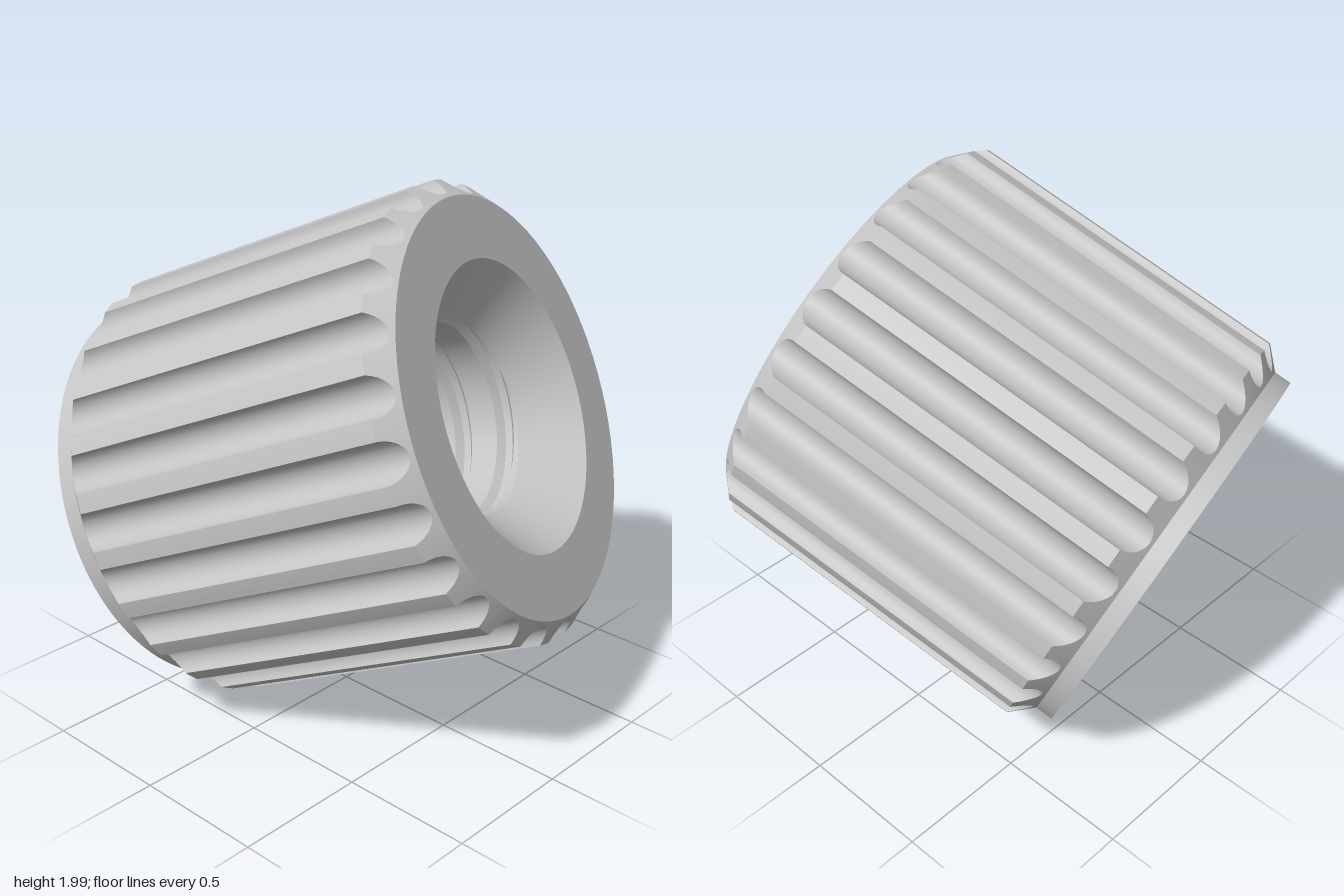
import * as THREE from 'three';
import { toCreasedNormals } from 'three/addons/utils/BufferGeometryUtils.js';

// Sizes: total length, knurl radius, face radius, bore crest and root radii
const L = 1.45, R = 0.82, FACE = 0.745, CREST = 0.35, ROOT = 0.38;
const RIM = 0.065, SINK = 0.19, BACK_SINK = 0.09;

// Grid surface around the y axis; f(i, j) gives [radius, angle, height]
function gridSurface(nu, nv, f) {
  const pos = [], index = [];
  for (let i = 0; i <= nu; i++) {
    for (let j = 0; j <= nv; j++) {
      const [r, a, y] = f(i, j);
      pos.push(r * Math.cos(a), y, -r * Math.sin(a));
      if (i < nu && j < nv) {
        const p = i * (nv + 1) + j, q = p + nv + 1;
        index.push(p, p + 1, q, p + 1, q + 1, q);
      }
    }
  }
  const g = new THREE.BufferGeometry();
  g.setAttribute('position', new THREE.Float32BufferAttribute(pos, 3));
  g.setIndex(index);
  return toCreasedNormals(g, 0.55);
}

// Knurled wall: 25 round flutes running out through 45 degree chamfers
function knurlGeometry() {
  const count = 25, c = 0.828, rho = 0.071;
  const step = Math.PI * 2 / count;
  const half = Math.acos((R * R + c * c - rho * rho) / (2 * R * c));
  const cols = [];
  for (let k = 0; k < count; k++) {
    const mid = k * step;
    for (let s = 0; s <= 12; s++) {
      const d = half * Math.sin((s / 12 - 0.5) * Math.PI);
      const r = c * Math.cos(d) - Math.sqrt(Math.max(0, rho * rho - (c * Math.sin(d)) ** 2));
      cols.push([Math.min(R, r), mid + d]);
    }
    for (const t of [1 / 3, 2 / 3]) cols.push([R, mid + half + t * (step - 2 * half)]);
  }
  cols.push([cols[0][0], cols[0][1] + Math.PI * 2]);
  return gridSurface(cols.length - 1, 3, (i, j) => {
    const [r, a] = cols[i], drop = r - FACE;
    const row = [[FACE, L], [r, L - drop], [r, RIM + drop], [FACE, RIM]][j];
    return [row[0], a, row[1]];
  });
}

// Internal thread: helical trapezoid profile clamped between the two countersinks
function threadGeometry() {
  const pitch = 0.18, segs = 72, turns = 10;
  const profile = [[0, CREST], [0.6, CREST], [0.72, ROOT], [0.88, ROOT]];
  return gridSurface(segs, turns * 4, (i, j) => {
    const [t, r] = profile[j % 4];
    const y = pitch * (Math.floor(j / 4) - 1 + t + i / segs);
    return [r, i / segs * Math.PI * 2, THREE.MathUtils.clamp(y, BACK_SINK, L - SINK)];
  });
}

function latheGeometry(points) {
  const g = new THREE.LatheGeometry(points.map(p => new THREE.Vector2(...p)), 120);
  return toCreasedNormals(g, 0.4);
}

export function createModel() {
  const steel = new THREE.MeshStandardMaterial({ color: 0xc4c4c4 });
  steel.name = 'grey steel';

  const nut = new THREE.Group();
  nut.name = 'knurledNut';
  const add = (name, geometry) => {
    const mesh = new THREE.Mesh(geometry, steel);
    mesh.name = name;
    mesh.position.y = -L / 2;
    nut.add(mesh);
  };

  add('knurledWall', knurlGeometry());
  add('thread', threadGeometry());
  add('frontFaceAndCountersink', latheGeometry([[FACE, L], [0.52, L], [CREST, L - SINK]]));
  add('backFaceAndRim', latheGeometry([[CREST, BACK_SINK], [0.38, 0], [FACE, 0], [FACE, RIM]]));

  // Tilt the axis so the countersunk end looks forward, up and to the left
  const n = new THREE.Vector3(0.249, 0.394, 0.885).normalize();
  const u = new THREE.Vector3(n.z, 0, -n.x).normalize();
  const w = new THREE.Vector3().crossVectors(u, n);
  nut.quaternion.setFromRotationMatrix(new THREE.Matrix4().makeBasis(u, n, w));
  nut.position.set(-0.01, 0.987, 0);

  const model = new THREE.Group();
  model.name = 'model';
  model.add(nut);
  return model;
}
